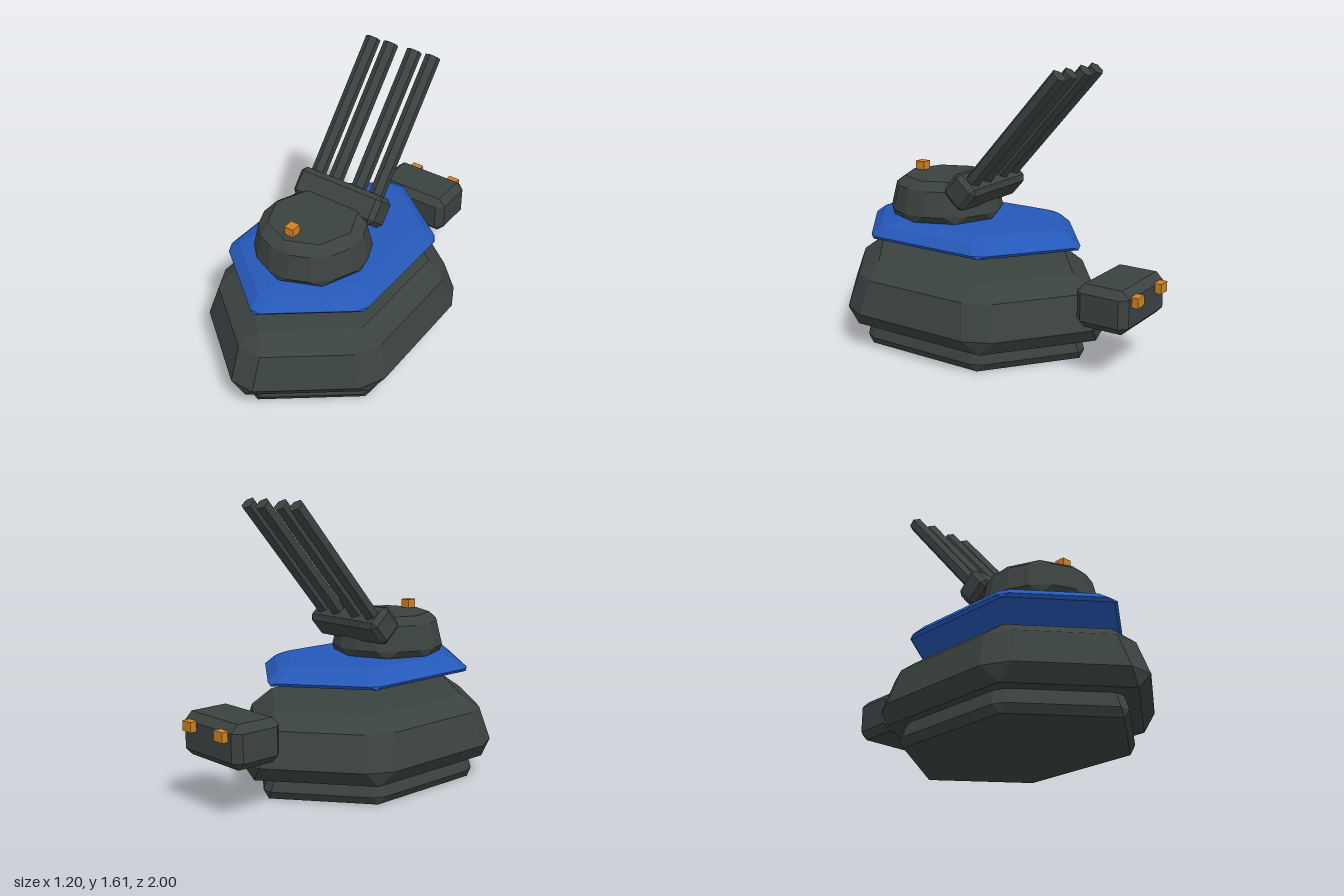
import * as THREE from 'three';

const armor = new THREE.MeshStandardMaterial({ color: 0x3a4240, flatShading: true });
armor.name = 'dark armor';
const blue = new THREE.MeshStandardMaterial({ color: 0x2558b8, flatShading: true });
blue.name = 'blue plate';
const orange = new THREE.MeshStandardMaterial({ color: 0xcc8024, flatShading: true });
orange.name = 'orange light';

// Corner outlines [x, z], running from the front toward +x.
const SLOPE = 0.758;
const hexagon = (x, apex) => {
  const z = apex - SLOPE * x;
  return [[0, apex], [x, z], [x, -z], [0, -apex], [-x, -z], [-x, z]];
};
const octagon = (r) => Array.from({ length: 8 }, (_, i) => {
  const a = i * Math.PI / 4;
  return [r * Math.sin(a), r * Math.cos(a)];
});
const rectangle = (x, z) => [[x, z], [x, -z], [-x, -z], [-x, z]];

// Cut every corner at distance d along both of its edges (d = 0 keeps it sharp).
function cutRing(corners, d, y) {
  const n = corners.length;
  const toward = ([x, z], [u, w]) => {
    const l = Math.hypot(u - x, w - z);
    return new THREE.Vector3(x + (u - x) * d / l, y, z + (w - z) * d / l);
  };
  return corners.flatMap((c, i) => [
    toward(c, corners[(i + n - 1) % n]),
    toward(c, corners[(i + 1) % n]),
  ]);
}

// Closed solid through stacked levels { y, corners, cut }.
function bevelledSolid(levels) {
  const rings = levels.map((l) => cutRing(l.corners, l.cut, l.y));
  const pos = [];
  const tri = (a, b, c) => {
    const area = b.clone().sub(a).cross(c.clone().sub(a)).length();
    if (area > 1e-8) for (const p of [a, b, c]) pos.push(p.x, p.y, p.z);
  };
  const n = rings[0].length;
  const last = rings[rings.length - 1];
  const low = new THREE.Vector3(0, levels[0].y, 0);
  const high = new THREE.Vector3(0, last[0].y, 0);
  for (let i = 0; i < n; i++) {
    const j = (i + 1) % n;
    tri(low, rings[0][j], rings[0][i]);
    tri(high, last[i], last[j]);
    for (let k = 0; k + 1 < rings.length; k++) {
      const a = rings[k], b = rings[k + 1];
      tri(a[i], a[j], b[j]);
      tri(a[i], b[j], b[i]);
    }
  }
  const geo = new THREE.BufferGeometry();
  geo.setAttribute('position', new THREE.Float32BufferAttribute(pos, 3));
  geo.computeVertexNormals();
  return geo;
}

// Box with chamfered edges, centred on its origin.
function chamferBox(w, h, d, b) {
  const x = w / 2, y = h / 2, z = d / 2;
  const inner = rectangle(x - b, z - b), outer = rectangle(x, z);
  return bevelledSolid([
    { y: -y, corners: inner, cut: 0 },
    { y: -y + b, corners: outer, cut: b },
    { y: y - b, corners: outer, cut: b },
    { y, corners: inner, cut: 0 },
  ]);
}

export function createModel() {
  const model = new THREE.Group();
  model.name = 'turretTank';
  const add = (name, geo, mat, x, y, z, parent = model) => {
    const mesh = new THREE.Mesh(geo, mat);
    mesh.name = name;
    mesh.position.set(x, y, z);
    parent.add(mesh);
    return mesh;
  };
  const bodyZ = 0.155;

  // Lower skirt, reaching up into the hull
  add('skirt', bevelledSolid([
    { y: 0, corners: hexagon(0.475, 0.725), cut: 0 },
    { y: 0.045, corners: hexagon(0.505, 0.76), cut: 0.04 },
    { y: 0.15, corners: hexagon(0.475, 0.722), cut: 0.04 },
  ]), armor, 0, 0, bodyZ);

  // Main hull
  add('hull', bevelledSolid([
    { y: 0.125, corners: hexagon(0.535, 0.825), cut: 0 },
    { y: 0.21, corners: hexagon(0.6, 0.902), cut: 0.09 },
    { y: 0.4, corners: hexagon(0.545, 0.822), cut: 0.09 },
    { y: 0.482, corners: hexagon(0.435, 0.675), cut: 0 },
  ]), armor, 0, 0, bodyZ);

  // Floating deck plate
  add('deckPlate', bevelledSolid([
    { y: 0.62, corners: hexagon(0.455, 0.705), cut: 0 },
    { y: 0.638, corners: hexagon(0.468, 0.722), cut: 0.04 },
    { y: 0.687, corners: hexagon(0.42, 0.65), cut: 0.04 },
    { y: 0.71, corners: hexagon(0.355, 0.55), cut: 0 },
  ]), blue, 0, 0, bodyZ);

  // Turret
  add('turret', bevelledSolid([
    { y: 0.705, corners: octagon(0.31), cut: 0 },
    { y: 0.75, corners: octagon(0.345), cut: 0.065 },
    { y: 0.89, corners: octagon(0.312), cut: 0.065 },
    { y: 0.935, corners: octagon(0.245), cut: 0 },
  ]), armor, 0, 0, 0.335);

  // Gun mount and four barrels, tilted up toward the rear
  const guns = new THREE.Group();
  guns.name = 'guns';
  guns.position.set(0, 0.907, 0.065);
  guns.rotation.x = -0.72;
  model.add(guns);
  add('gunMount', chamferBox(0.54, 0.17, 0.17, 0.027), armor, 0, 0, 0, guns);
  const barrelGeo = new THREE.CylinderGeometry(0.043, 0.043, 0.9, 6);
  for (const x of [-0.196, -0.077, 0.077, 0.196]) {
    add('barrel', barrelGeo, armor, x, 0.45, 0, guns);
  }

  // Rear pod
  add('rearPod', chamferBox(0.48, 0.238, 0.305, 0.042), armor, 0, 0.397, -0.812);

  // Lights
  add('turretLight', new THREE.BoxGeometry(0.056, 0.05, 0.06), orange, 0, 0.965, 0.515);
  for (const side of [-1, 1]) {
    add('rearLight', new THREE.BoxGeometry(0.072, 0.055, 0.05), orange, side * 0.135, 0.455, -0.975);
  }
  return model;
}
